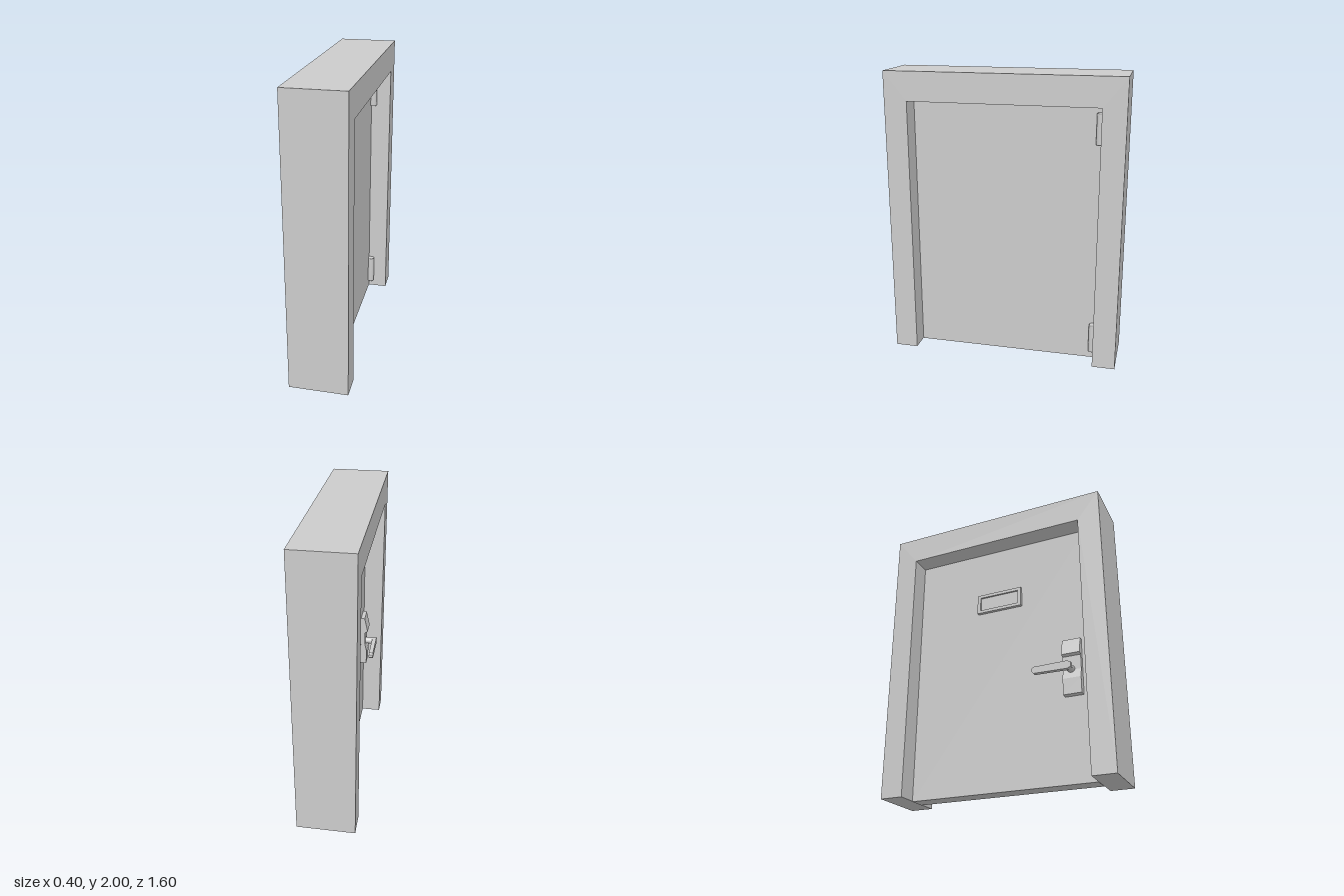
import * as THREE from 'three';

const material = new THREE.MeshStandardMaterial({ color: 0xcccccc });

function add(parent, name, geometry, x = 0, y = 0, z = 0) {
  const mesh = new THREE.Mesh(geometry, material);
  mesh.name = name;
  mesh.position.set(x, y, z);
  parent.add(mesh);
  return mesh;
}

const polygon = (points) => new THREE.Shape(points.map(([a, b]) => new THREE.Vector2(a, b)));

// Extrudes a (z, y) outline along x, centred on x = 0
function extrudeAcross(shape, width) {
  const g = new THREE.ExtrudeGeometry(shape, { depth: width, bevelEnabled: false });
  return g.translate(0, 0, -width / 2).rotateY(-Math.PI / 2);
}

const rectangle = (w, h) => polygon([[-w, -h], [w, -h], [w, h], [-w, h]]);

export function createModel() {
  const model = new THREE.Group();
  model.name = 'door';

  // Thick three-sided frame, open at the floor
  const base = 0.003, inner = 0.643, head = 1.803;
  add(model, 'frame', extrudeAcross(polygon([
    [-0.8, base], [-inner, base], [-inner, head], [inner, head],
    [inner, base], [0.8, base], [0.8, 2], [-0.8, 2],
  ]), 0.4));

  // Door leaf set in the middle of the frame
  add(model, 'leaf', new THREE.BoxGeometry(0.12, 1.803, 1.286), 0, 0.9015, 0);

  // Hinge barrels with small chamfered ends
  const hinge = new THREE.LatheGeometry(
    [[0, -0.105], [0.021, -0.105], [0.026, -0.1], [0.026, 0.1], [0.021, 0.105], [0, 0.105]]
      .map(([r, y]) => new THREE.Vector2(r, y)), 16);
  for (const [name, y] of [['lowerHinge', 0.163], ['upperHinge', 1.65]]) {
    add(model, name, hinge, 0.078, y, -0.626);
  }

  // Blank name plate with a raised rim
  const sign = new THREE.Group();
  sign.name = 'namePlate';
  sign.position.set(-0.06, 1.376, -0.005);
  const rim = rectangle(0.168, 0.072);
  rim.holes.push(rectangle(0.144, 0.05));
  add(sign, 'plateRim', extrudeAcross(rim, 0.024), -0.01);
  add(sign, 'plateBack', new THREE.BoxGeometry(0.012, 0.12, 0.31), -0.004);
  model.add(sign);

  // Lock: stepped side profile extruded across its width
  const lock = new THREE.Group();
  lock.name = 'lock';
  const profile = polygon([
    [-0.055, 0.57], [-0.055, 0.96], [-0.088, 0.96], [-0.112, 0.85],
    [-0.092, 0.838], [-0.092, 0.74], [-0.105, 0.68], [-0.105, 0.57],
  ]);
  add(lock, 'lockPlate', new THREE.ExtrudeGeometry(profile, { depth: 0.125, bevelEnabled: false }), 0, 0, 0.458);

  // Lever handle on a round spindle
  const spindle = new THREE.CylinderGeometry(0.022, 0.026, 0.075, 16).rotateZ(Math.PI / 2);
  add(lock, 'spindle', spindle, -0.122, 0.745, 0.515);
  const grip = polygon([
    [0.272, 0.735], [0.285, 0.722], [0.515, 0.718], [0.54, 0.73],
    [0.54, 0.76], [0.515, 0.772], [0.285, 0.768], [0.272, 0.755],
  ]);
  add(lock, 'lever', extrudeAcross(grip, 0.03), -0.16);
  model.add(lock);

  return model;
}
